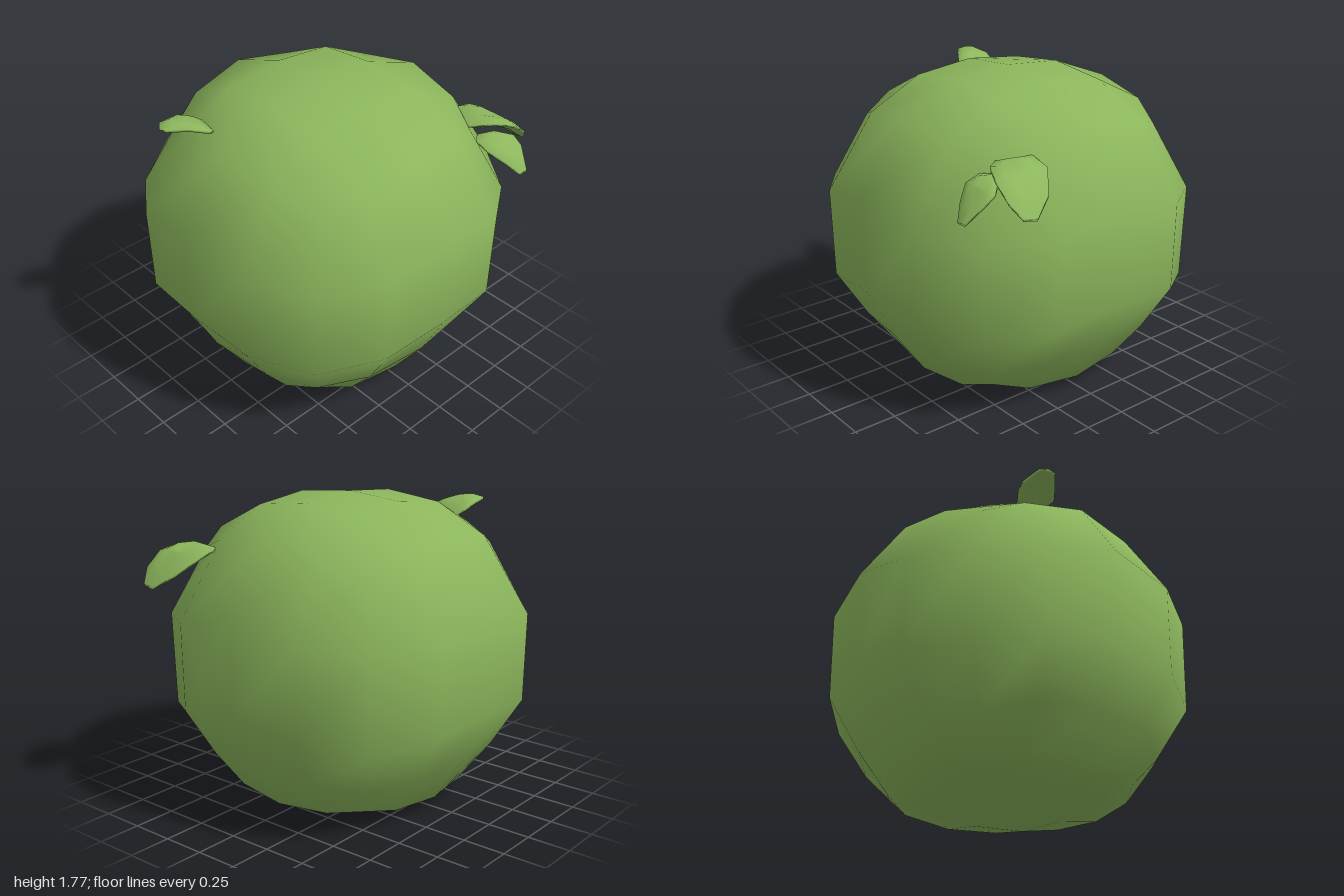
import * as THREE from 'three';
import { mergeVertices } from 'three/addons/utils/BufferGeometryUtils.js';

// Side rows from bottom to top; columns go from face middle to corner.
// Each point is [outward, height, sideways].
const SIDE = [
  [[0.63, 0.06, 0], [0.59, 0.08, 0.32], [0.49, 0.12, 0.49]],
  [[0.83, 0.35, 0], [0.77, 0.32, 0.36], [0.59, 0.26, 0.59]],
  [[0.98, 0.65, 0], [0.94, 0.61, 0.41], [0.72, 0.54, 0.72]],
  [[1.0, 1.2, 0], [0.95, 1.12, 0.41], [0.73, 1.08, 0.73]],
  [[0.73, 1.6, 0], [0.68, 1.54, 0.36], [0.58, 1.46, 0.58]],
];
// Cap points: centre, straight neighbour, diagonal neighbour
const TOP = [[0, 1.77, 0], [0.36, 1.74, 0], [0.36, 1.7, 0.36]];
const BOTTOM = [[0, 0, 0], [0.35, 0.01, 0], [0.33, 0.03, 0.33]];

function smooth(geometry) {
  geometry.deleteAttribute('uv');
  geometry.deleteAttribute('normal');
  const merged = mergeVertices(geometry, 1e-4);
  merged.computeVertexNormals();
  return merged;
}

// Gridded cube whose vertices are moved onto the rounded body
function bodyGeometry() {
  const geo = new THREE.BoxGeometry(4, 4, 4, 4, 4, 4);
  const pos = geo.attributes.position;
  for (let v = 0; v < pos.count; v++) {
    const i = Math.round(pos.getX(v)), j = Math.round(pos.getY(v)), k = Math.round(pos.getZ(v));
    const ai = Math.abs(i), ak = Math.abs(k);
    const m = Math.max(ai, ak), n = Math.min(ai, ak);
    const [big, y, small] = m === 2 ? SIDE[j + 2][n] : (j > 0 ? TOP : BOTTOM)[m + n];
    pos.setXYZ(v, Math.sign(i) * (ai >= ak ? big : small), y, Math.sign(k) * (ak >= ai ? big : small));
  }
  return smooth(geo);
}

// Thin arched leaf: an [x, z] outline, a height rule and a lens-like thickness
function leafGeometry(outline, height, thickness) {
  const count = outline.length;
  const cx = outline.reduce((s, p) => s + p[0], 0) / count;
  const cz = outline.reduce((s, p) => s + p[1], 0) / count;
  const rings = [[0.01, 0], [0.6, 0], [1, 0.015], [1, 0.03], [0.6, thickness], [0.01, thickness]];
  const verts = [], index = [];
  for (const [scale, drop] of rings) {
    for (const [px, pz] of outline) {
      const x = cx + (px - cx) * scale, z = cz + (pz - cz) * scale;
      verts.push(x, height(x, z) - drop, z);
    }
  }
  for (let r = 0; r < rings.length - 1; r++) {
    for (let a = 0; a < count; a++) {
      const b = (a + 1) % count, p = r * count, q = p + count;
      index.push(p + a, p + b, q + b, p + a, q + b, q + a);
    }
  }
  // Close the small middle openings
  const last = (rings.length - 1) * count;
  for (let a = 1; a < count - 1; a++) {
    index.push(0, a + 1, a, last, last + a, last + a + 1);
  }
  const geo = new THREE.BufferGeometry();
  geo.setAttribute('position', new THREE.Float32BufferAttribute(verts, 3));
  geo.setIndex(index);
  geo.computeVertexNormals();
  return geo;
}

const LEAVES = [
  {
    name: 'largeFrontLeaf', thickness: 0.06,
    outline: [[0.68, 0.39], [0.8, 0.39], [0.91, 0.48], [0.97, 0.6], [0.96, 0.68], [0.9, 0.72], [0.8, 0.72], [0.69, 0.67], [0.59, 0.56]],
    height: (x) => 1.51 - 2.4 * (x - 0.68) ** 2,
  },
  {
    name: 'smallFrontLeaf', thickness: 0.05,
    outline: [[0.62, 0.6], [0.72, 0.64], [0.8, 0.72], [0.8, 0.78], [0.75, 0.87], [0.69, 0.87], [0.63, 0.81], [0.57, 0.73], [0.57, 0.64]],
    height: (x, z) => 1.44 - 2.6 * (z - 0.62) ** 2,
  },
  {
    name: 'rearLeaf', thickness: 0.04,
    outline: [[-0.86, -0.33], [-0.83, -0.37], [-0.7, -0.39], [-0.64, -0.38], [-0.57, -0.34], [-0.63, -0.17], [-0.67, -0.15], [-0.76, -0.21], [-0.85, -0.28]],
    height: (x) => 1.69 - 1.6 * (x + 0.8) ** 2,
  },
];

export function createModel() {
  const group = new THREE.Group();
  const green = new THREE.MeshStandardMaterial({ color: 0x8cb65c });
  green.name = 'leafGreen';

  const body = new THREE.Mesh(bodyGeometry(), green);
  body.name = 'roundBody';
  group.add(body);

  for (const { name, outline, height, thickness } of LEAVES) {
    const leaf = new THREE.Mesh(leafGeometry(outline, height, thickness), green);
    leaf.name = name;
    group.add(leaf);
  }
  return group;
}
